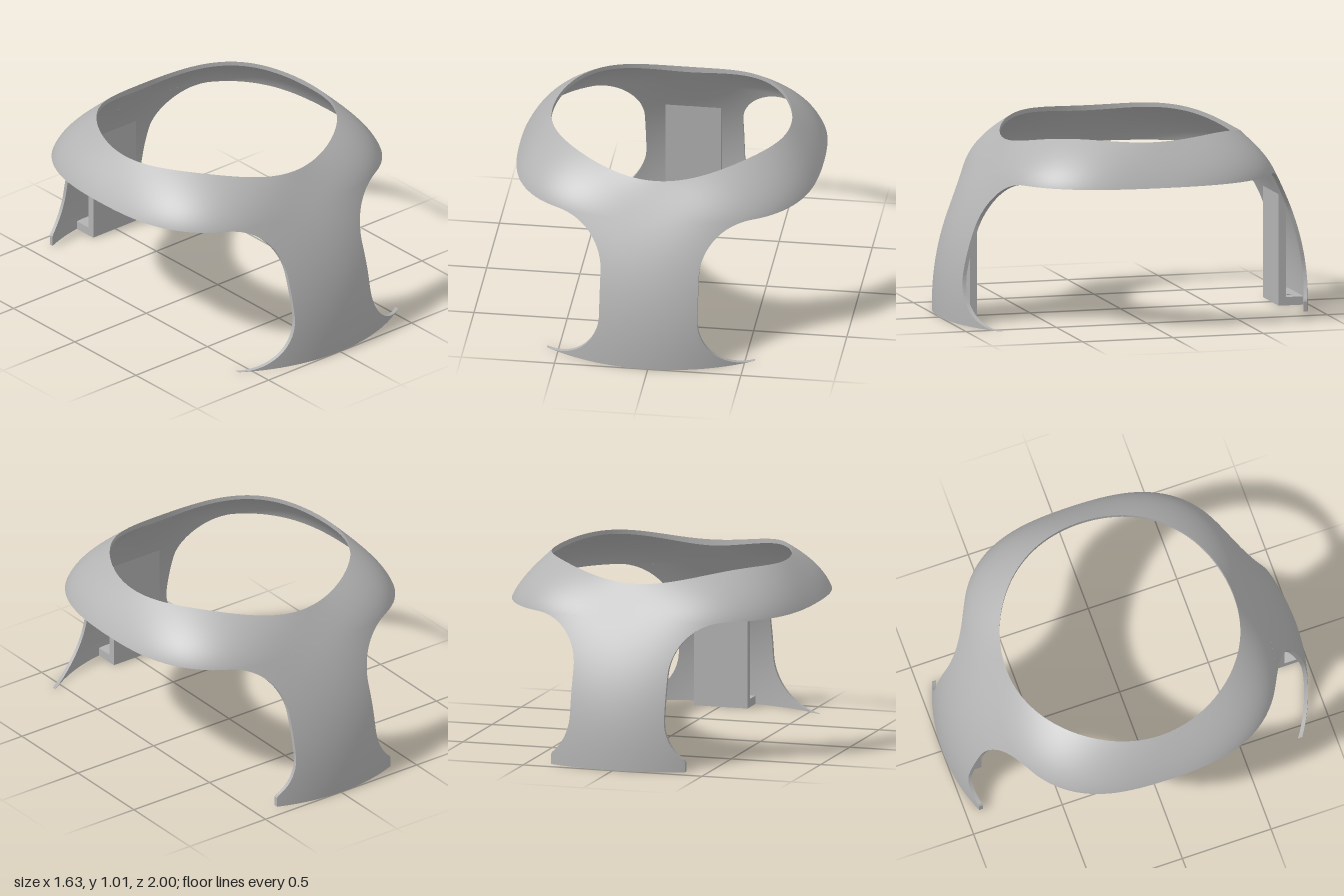
import * as THREE from 'three';

const CUT = 0.775;    // height of the underside of the crown
const THICK = 0.02;   // shell thickness
const HOLE = 0.64;    // radius of the round top opening
const POW = 2.3;
const NECK = 0.263;   // half width of a leg

const V = (x, y, z) => new THREE.Vector3(x, y, z);
const polar = (a, r, y) => V(r * Math.cos(a), y, r * Math.sin(a));

// Crown radius at CUT (squarish plan) and wavy height of the opening's edge
const crownR = (a) => 0.8335 + 0.025 * Math.cos(2 * a) - 0.0435 * Math.cos(4 * a);
const topY = (a) => 0.9875 + 0.025 * Math.cos(2 * a) - 0.0175 * Math.cos(4 * a);

// Lower surface, by angle and height
const lowerR = (a, y) => 1 - (1 - crownR(a)) * Math.pow(Math.max(y, 0) / CUT, POW);
const lower = (a, y) => polar(a, lowerR(a, y), y);

// Upper surface, curving smoothly on from the lower one to the opening
function upper(a, v) {
  const R = crownR(a), h = (topY(a) - CUT) / 2, w = 1 - v;
  const slope = (1 - R) * POW / CUT;
  const r = w * w * R + 2 * w * v * (R - slope * h) + v * v * HOLE;
  return polar(a, r, CUT + 2 * h * v);
}

function normalOf(f, a, v) {
  const e = 1e-3;
  const da = f(a + e, v).sub(f(a - e, v));
  const dv = f(a, v + e).sub(f(a, v - e));
  return dv.cross(da).normalize();
}

// Thick sheet: at(u, v) gives a point, its normal and the direction of thickness
function sheet(nu, vs, at, closed) {
  const pos = [], nor = [], grid = [];
  const nv = vs.length - 1;
  for (let i = 0; i <= nu; i++) {
    grid.push(vs.map((v) => {
      const { p, n, d } = at(i / nu, v);
      const q = p.clone().addScaledVector(d, -THICK / n.dot(d));
      return { o: { p, n }, i: { p: q, n: n.clone().negate() } };
    }));
  }
  const quad = (...c) => [0, 1, 2, 0, 2, 3].forEach((k) => {
    pos.push(...c[k].p.toArray());
    nor.push(...c[k].n.toArray());
  });
  const rim = (a, b, c, d) => {
    const n = c.p.clone().sub(a.p).cross(d.p.clone().sub(b.p)).normalize();
    quad(...[a, b, c, d].map((k) => ({ p: k.p, n })));
  };
  for (let i = 0; i < nu; i++) {
    for (let j = 0; j < nv; j++) {
      const A = grid[i][j], B = grid[i][j + 1], C = grid[i + 1][j + 1], D = grid[i + 1][j];
      quad(A.o, B.o, C.o, D.o);
      quad(A.i, D.i, C.i, B.i);
    }
    const A = grid[i][0], B = grid[i + 1][0], C = grid[i][nv], D = grid[i + 1][nv];
    rim(A.o, B.o, B.i, A.i);
    rim(C.o, C.i, D.i, D.o);
  }
  if (!closed) {
    for (let j = 0; j < nv; j++) {
      const A = grid[0][j], B = grid[0][j + 1], C = grid[nu][j], D = grid[nu][j + 1];
      rim(A.o, A.i, B.i, B.o);
      rim(C.o, D.o, D.i, C.i);
    }
  }
  const g = new THREE.BufferGeometry();
  g.setAttribute('position', new THREE.Float32BufferAttribute(pos, 3));
  g.setAttribute('normal', new THREE.Float32BufferAttribute(nor, 3));
  return g;
}

// Crown ring around the opening
function crownGeometry() {
  const vs = Array.from({ length: 15 }, (_, j) => j / 14);
  return sheet(144, vs, (u, v) => {
    const a = u * Math.PI * 2;
    const d = polar(a, 1 - v, v).normalize();
    return { p: upper(a, v), n: normalOf(upper, a, v), d };
  }, true);
}

// Leg outline: flared foot, straight neck, rounded shoulder; maxFoot trims the flare
function legGeometry(maxFoot) {
  const rows = [];
  const N = 20;
  for (let k = 0; k <= N; k++) {
    const f = (k / N) * Math.PI / 2;
    rows.push([0.28 * (1 - Math.cos(f)), Math.min(maxFoot, NECK + 0.295 * (1 - Math.sin(f)))]);
  }
  for (let k = 1; k < 6; k++) rows.push([0.28 + 0.23 * k / 6, NECK]);
  for (let k = 0; k <= N; k++) {
    const f = (k / N) * Math.PI / 2;
    rows.push([0.51 + 0.265 * Math.sin(f), NECK + 0.262 * (1 - Math.cos(f))]);
  }
  return sheet(32, rows, (u, [y, w]) => {
    const x = w * (1 - 2 * u);
    let a = Math.PI / 2;
    for (let k = 0; k < 20; k++) a = Math.acos(x / lowerR(a, y));
    return { p: lower(a, y), n: normalOf(lower, a, y), d: V(0, 0, 1) };
  }, false);
}

// Upright mounting plate, its top sloped to meet the shell
function plateGeometry() {
  const s = new THREE.Shape([[0.835, 0], [0.875, 0], [0.875, 0.52], [0.835, 0.6]]
    .map(([z, y]) => new THREE.Vector2(-z, y)));
  const g = new THREE.ExtrudeGeometry(s, { depth: 0.3, bevelEnabled: false });
  return g.translate(0, 0, -0.15).rotateY(Math.PI / 2);
}

// Foot block with two screw holes
function footGeometry() {
  const s = new THREE.Shape([[-0.15, 0.874], [0.15, 0.874], [0.15, 0.973], [-0.15, 0.973]]
    .map(([x, z]) => new THREE.Vector2(x, z)));
  for (const x of [-0.075, 0.075]) {
    s.holes.push(new THREE.Path().absarc(x, 0.915, 0.016, 0, Math.PI * 2, true));
  }
  const g = new THREE.ExtrudeGeometry(s, { depth: 0.045, bevelEnabled: false, curveSegments: 20 });
  return g.rotateX(Math.PI / 2).translate(0, 0.045, 0);
}

export function createModel() {
  const grey = new THREE.MeshStandardMaterial({ color: 0xb3b3b3 });
  grey.name = 'plain grey';
  const model = new THREE.Group();
  model.name = 'openShell';
  const body = new THREE.Group();
  body.name = 'body';
  body.position.x = -0.006;
  model.add(body);

  const add = (parent, name, geometry) => {
    const m = new THREE.Mesh(geometry, grey);
    m.name = name;
    parent.add(m);
  };

  add(body, 'crown', crownGeometry());
  // Front leg has long foot tips, the back leg short trimmed ones
  for (const [side, maxFoot, turn] of [['front', 1, 0], ['back', 0.375, Math.PI]]) {
    const leg = new THREE.Group();
    leg.name = side + 'LegAssembly';
    leg.rotation.y = turn;
    add(leg, side + 'Leg', legGeometry(maxFoot));
    add(leg, side + 'MountPlate', plateGeometry());
    add(leg, side + 'MountFoot', footGeometry());
    body.add(leg);
  }
  return model;
}
